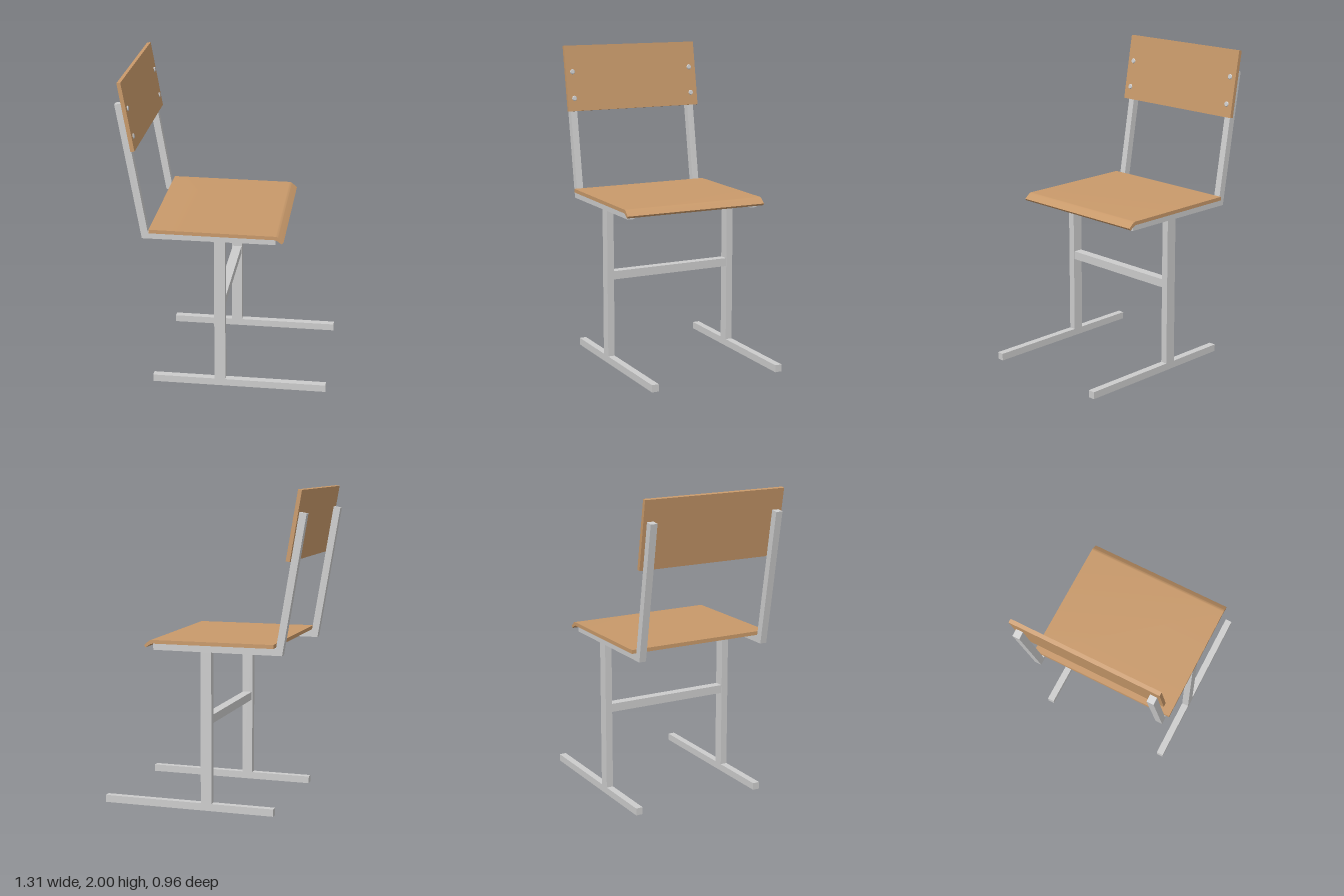
import * as THREE from 'three';
import { toCreasedNormals } from 'three/addons/utils/BufferGeometryUtils.js';

const wood = new THREE.MeshStandardMaterial({ color: 0xc8996a });
wood.name = 'wood';
const steel = new THREE.MeshStandardMaterial({ color: 0xcccccc });
steel.name = 'steel';

function add(parent, name, geometry, material, x = 0, y = 0, z = 0) {
  const mesh = new THREE.Mesh(geometry, material);
  mesh.name = name;
  mesh.position.set(x, y, z);
  parent.add(mesh);
  return mesh;
}

// Box given by its limits in x and y, its depth and its middle in z
function bar(parent, name, x0, x1, y0, y1, depth, z = 0) {
  const geometry = new THREE.BoxGeometry(x1 - x0, y1 - y0, depth);
  return add(parent, name, geometry, steel, (x0 + x1) / 2, (y0 + y1) / 2, z);
}

// Side profile extruded across the chair and centred on z
function slab(shape, depth) {
  const geometry = new THREE.ExtrudeGeometry(shape, { depth, bevelEnabled: false, curveSegments: 5 });
  geometry.translate(0, 0, -depth / 2);
  return toCreasedNormals(geometry, 0.5);
}

const polygon = (points) => new THREE.Shape(points.map(([x, y]) => new THREE.Vector2(x, y)));

export function createModel() {
  const chair = new THREE.Group();
  chair.name = 'chair';
  const tube = 0.045;
  const tilt = Math.atan2(0.073, 0.43);

  // Seat rail and leaning back post, mitred at the corner
  const rail = slab(polygon([
    [0.32, 1.0], [0.32, 1.045], [-0.472, 1.045], [-0.61, 1.864], [-0.655, 1.857], [-0.51, 1.0],
  ]), tube);

  for (const side of [1, -1]) {
    const frame = new THREE.Group();
    frame.name = side > 0 ? 'leftSideFrame' : 'rightSideFrame';
    frame.position.z = side * 0.432;
    chair.add(frame);
    bar(frame, 'foot', -0.46, 0.652, 0, 0.046, tube);
    bar(frame, 'leg', -0.06, 0.01, 0.046, 1.0, tube);
    add(frame, 'seatRailAndBackPost', rail, steel);

    // Bolt heads on the backrest face
    for (const y of [1.83, 1.657]) {
      const x = -0.535 - (y - 1.574) * Math.tan(tilt);
      const bolt = add(frame, 'bolt', new THREE.CylinderGeometry(0.014, 0.019, 0.008, 8), steel, x + 0.002, y, 0);
      bolt.rotation.z = tilt - Math.PI / 2;
    }
  }

  // Bar joining the two legs
  bar(chair, 'crossbar', -0.055, 0.005, 0.55, 0.604, 0.82);

  // Seat panel with its front edge bent down
  const seat = new THREE.Shape();
  seat.moveTo(-0.462, 1.045);
  seat.lineTo(0.312, 1.042);
  seat.quadraticCurveTo(0.325, 1.042, 0.335, 1.035);
  seat.lineTo(0.361, 1.017);
  seat.lineTo(0.373, 1.03);
  seat.lineTo(0.345, 1.054);
  seat.quadraticCurveTo(0.333, 1.065, 0.32, 1.065);
  seat.lineTo(-0.462, 1.069);
  seat.closePath();
  add(chair, 'seat', slab(seat, 0.956), wood);

  // Leaning backrest panel
  add(chair, 'backrest', slab(polygon([
    [-0.56, 1.57], [-0.535, 1.574], [-0.608, 2.0], [-0.632, 1.996],
  ]), 0.956), wood);

  return chair;
}
